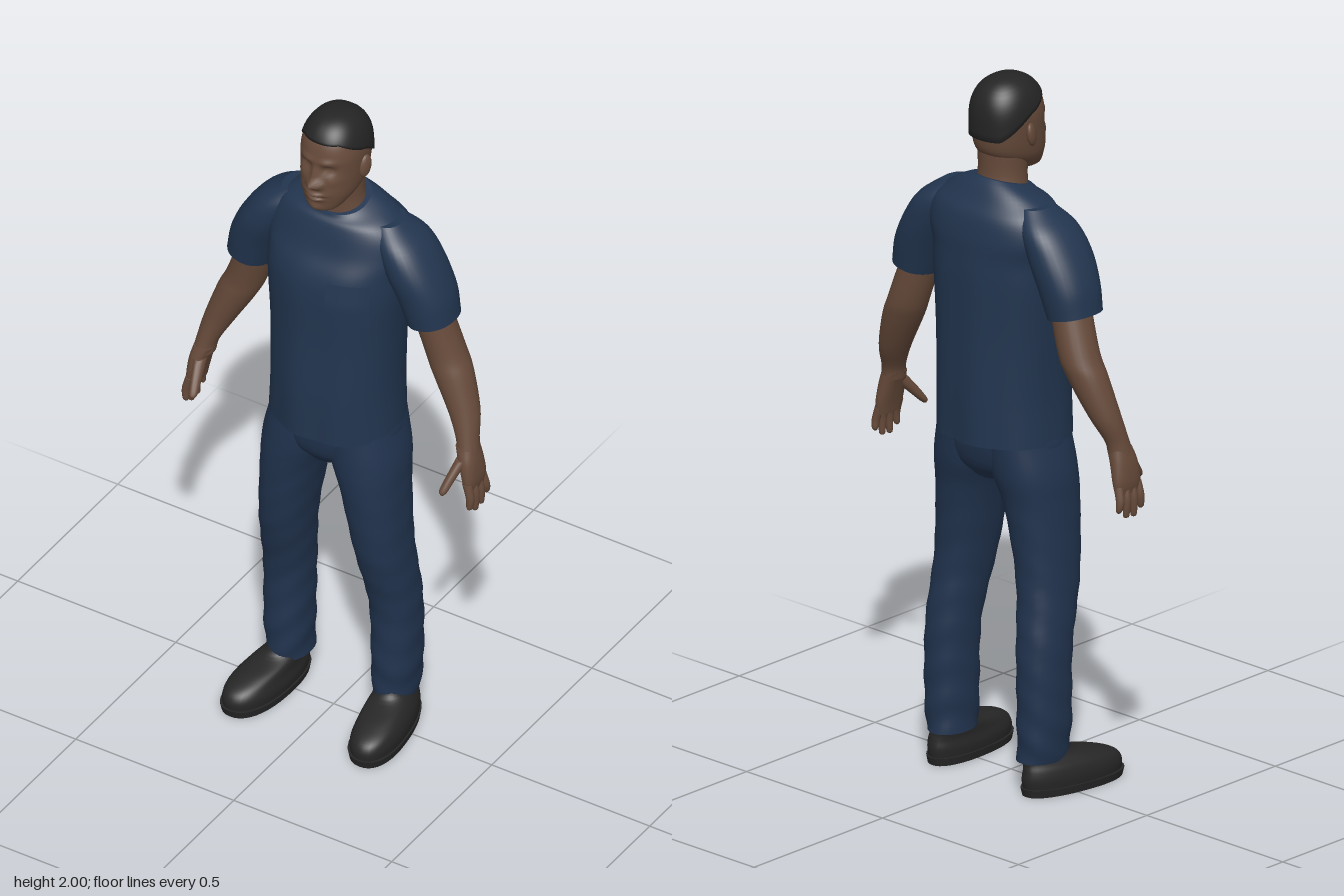
import * as THREE from 'three';

const mat = (name, color) => {
  const m = new THREE.MeshStandardMaterial({ color, side: THREE.DoubleSide });
  m.name = name;
  return m;
};

// Superellipse outline: 1 at angle 0, sharper corners for larger e
const sup = (c, e) => Math.sign(c) * Math.pow(Math.abs(c), 2 / e);

// Smooth body through horizontal rings [y, x, z, rx, rz], listed from low to high
function loft(rings, { e = 2, n = 28, sub = 5, warp } = {}) {
  const centre = new THREE.CatmullRomCurve3(rings.map(r => new THREE.Vector3(r[1], r[0], r[2])), false, 'catmullrom', 0.5);
  const radii = new THREE.CatmullRomCurve3(rings.map(r => new THREE.Vector3(r[3], r[4], 0)), false, 'catmullrom', 0.5);
  const rows = (rings.length - 1) * sub, pos = [], idx = [];
  const v = new THREE.Vector3();
  for (let i = 0; i <= rows; i++) {
    const c = centre.getPoint(i / rows), r = radii.getPoint(i / rows);
    for (let j = 0; j < n; j++) {
      const a = j / n * Math.PI * 2;
      v.set(c.x + r.x * sup(Math.cos(a), e), c.y, c.z + r.y * sup(Math.sin(a), e));
      if (warp) warp(v, c, i / rows);
      pos.push(v.x, v.y, v.z);
      if (i < rows) {
        const p = i * n + j, q = i * n + (j + 1) % n;
        idx.push(p, p + n, q, q, p + n, q + n);
      }
    }
  }
  // End caps with their own corners, so that the rims stay sharp
  for (const top of [false, true]) {
    const start = pos.length / 3, from = (top ? rows : 0) * n * 3;
    const rim = pos.slice(from, from + n * 3);
    const mid = [0, 1, 2].map(k => rim.reduce((t, x, i) => i % 3 === k ? t + x / n : t, 0));
    pos.push(...rim, ...mid);
    for (let j = 0; j < n; j++) {
      const p = start + j, q = start + (j + 1) % n;
      idx.push(start + n, top ? q : p, top ? p : q);
    }
  }
  return build(pos, idx);
}

function build(pos, idx) {
  const g = new THREE.BufferGeometry();
  g.setAttribute('position', new THREE.Float32BufferAttribute(pos, 3));
  g.setIndex(idx);
  g.computeVertexNormals();
  return g;
}

// Grid surface from point(u, v)
function sheet(nu, nv, point) {
  const pos = [], idx = [];
  for (let i = 0; i <= nv; i++) for (let j = 0; j <= nu; j++) {
    pos.push(...point(j / nu, i / nv));
    if (i < nv && j < nu) {
      const p = i * (nu + 1) + j, q = p + nu + 1;
      idx.push(p, p + 1, q, q, p + 1, q + 1);
    }
  }
  return build(pos, idx);
}

export function createModel() {
  const shirt = mat('navy shirt', 0x22354f), trousers = mat('navy trousers', 0x21334e);
  const skin = mat('brown skin', 0x664a3a), black = mat('black hair', 0x242424), leather = mat('black leather', 0x262626);
  const model = new THREE.Group();
  const add = (name, geo, m, parent = model) => {
    const mesh = new THREE.Mesh(geo, m);
    mesh.name = name;
    parent.add(mesh);
    return mesh;
  };

  // Shirt body, with a neckline that rises towards the back
  const torso = [
    [0.99, 0, -0.025, 0.185, 0.165], [1.13, 0, -0.026, 0.18, 0.166], [1.3, 0, -0.03, 0.186, 0.16],
    [1.45, 0, -0.032, 0.198, 0.158], [1.52, 0, -0.037, 0.2, 0.15], [1.58, 0, -0.05, 0.21, 0.133],
    [1.64, 0, -0.053, 0.195, 0.116], [1.68, 0, -0.045, 0.15, 0.093], [1.708, 0, -0.035, 0.085, 0.072]];
  add('shirtBody', loft(torso, {
    e: 2.25, n: 56, warp: (v, c, t) => {
      const low = Math.max(0, 1 - t * 1.4);
      v.z -= 0.004 * low * Math.sin(v.x * 45) * Math.sign(v.z - c.z);
      v.y -= 0.28 * (v.z - c.z) * THREE.MathUtils.smoothstep(t, 0.8, 1);
    },
  }), shirt);

  // Chest pocket following the shirt front
  add('chestPocket', sheet(10, 8, (u, w) => {
    const x = 0.05 + u * 0.11, y = 1.385 + w * 0.135 + (w < 0.1 ? 0.012 * Math.abs(u - 0.5) : 0);
    const rz = 0.16 - Math.max(0, y - 1.45) * 0.12, zc = -0.032 - Math.max(0, y - 1.45) * 0.07;
    return [x, y, zc + 0.006 + rz * Math.pow(1 - Math.pow(x / 0.197, 2.25), 1 / 2.25)];
  }), shirt);

  // Hips
  add('trouserSeat', loft([[0.87, 0, -0.02, 0.07, 0.09], [0.91, 0, -0.022, 0.15, 0.118],
    [0.97, 0, -0.025, 0.188, 0.13], [1.04, 0, -0.028, 0.172, 0.13]], { e: 2.3, n: 40 }), trousers);

  // Neck and head; bumps are [x, y, width, height, depth] on the face
  add('neck', loft([[1.64, 0, -0.045, 0.09, 0.075], [1.72, 0, -0.033, 0.069, 0.066], [1.81, 0, -0.03, 0.07, 0.07]], { n: 32 }), skin);
  const bumps = [
    [0, 1.825, 0.015, 0.014, 0.03], [0, 1.853, 0.01, 0.022, 0.014], [0.018, 1.82, 0.008, 0.009, 0.01],
    [0.034, 1.868, 0.017, 0.012, -0.014], [0.03, 1.893, 0.025, 0.009, 0.006], [0.034, 1.866, 0.008, 0.006, 0.007],
    [0, 1.79, 0.024, 0.006, 0.012], [0, 1.773, 0.02, 0.006, 0.011], [0, 1.781, 0.025, 0.003, -0.006],
    [0, 1.742, 0.02, 0.012, 0.007], [0.05, 1.835, 0.018, 0.014, 0.004]];
  add('head', loft([
    [1.725, 0, 0.05, 0.026, 0.032], [1.738, 0, 0.038, 0.05, 0.053], [1.77, 0, 0.012, 0.071, 0.084],
    [1.8, 0, -0.003, 0.08, 0.102], [1.85, 0, -0.012, 0.086, 0.104], [1.9, 0, -0.015, 0.088, 0.104],
    [1.94, 0, -0.015, 0.08, 0.094], [1.97, 0, -0.015, 0.062, 0.073], [1.985, 0, -0.015, 0.036, 0.042]], {
    e: 2.25, n: 80, sub: 8, warp: v => {
      if (v.z < 0.03) return;
      let d = 0;
      for (const [x, y, w, h, k] of bumps) d += k * Math.exp(-(((Math.abs(v.x) - x) / w) ** 2) - ((v.y - y) / h) ** 2);
      v.z += d;
    },
  }), skin);

  // Close-cropped hair: a dome whose lower edge drops from brow to nape
  add('hair', sheet(64, 14, (u, w) => {
    const a = -u * Math.PI * 2, s = Math.sin(a);
    const y0 = s > 0 ? 1.905 + 0.042 * Math.min(1, s * 1.3) : 1.905 - 0.067 * Math.min(1, -s * 1.25);
    const k = Math.max(0, (w - 0.07) / 0.93);
    const y = y0 + (2 - y0) * Math.sin(k * Math.PI / 2);
    const f = Math.pow(Math.max(0, 1 - Math.pow(Math.max(0, (y - 1.88) / 0.12), 2.4)), 1 / 2.4) * (w === 0 ? 0.9 : 1);
    return [0.092 * f * sup(Math.cos(a), 2.25), y, -0.015 + 0.108 * f * sup(s, 2.25)];
  }), black);

  for (const s of [1, -1]) {
    const side = new THREE.Group();
    side.name = s > 0 ? 'leftSide' : 'rightSide';
    model.add(side);
    const limb = (name, rings, m, opts) =>
      add(name, loft(rings.map(([y, x, ...r]) => [y, s * x, ...r]), opts), m, side);

    // Ear
    const ear = add('ear', new THREE.SphereGeometry(1, 16, 12), skin, side);
    ear.scale.set(0.011, 0.034, 0.02);
    ear.position.set(s * 0.09, 1.848, -0.015);
    ear.rotation.set(-0.2, s * -0.35, 0);

    // Sleeve and bare arm
    limb('sleeve', [[1.395, 0.285, -0.052, 0.066, 0.079], [1.47, 0.264, -0.052, 0.073, 0.088], [1.55, 0.228, -0.05, 0.073, 0.094],
      [1.62, 0.19, -0.052, 0.062, 0.085], [1.672, 0.145, -0.052, 0.04, 0.05]], shirt,
    { e: 2.2, n: 32, warp: (v, c, t) => { v.y += s * 0.2 * (v.x - c.x) * (1 - t); } });
    limb('arm', [[1.02, 0.418, -0.014, 0.03, 0.037], [1.06, 0.41, -0.022, 0.031, 0.035], [1.13, 0.385, -0.043, 0.044, 0.045],
      [1.235, 0.338, -0.06, 0.058, 0.055], [1.3, 0.31, -0.065, 0.057, 0.057], [1.44, 0.265, -0.055, 0.054, 0.058]], skin);

    // Hand: palm, four fingers and thumb
    limb('palm', [[0.915, 0.438, -0.012, 0.015, 0.042], [0.95, 0.436, -0.012, 0.021, 0.047], [1.0, 0.426, -0.012, 0.026, 0.043],
      [1.04, 0.414, -0.016, 0.029, 0.035]], skin, { e: 2.4 });
    [[0.862, 0.025], [0.845, 0.002], [0.848, -0.022], [0.868, -0.045]].forEach(([tip, z], i) =>
      limb('finger' + (i + 1), [[tip, 0.448, z * 1.2, 0.004, 0.004], [tip + 0.008, 0.449, z * 1.2, 0.009, 0.009],
        [0.9, 0.449, z * 1.1, 0.012, 0.012], [0.94, 0.438, z, 0.014, 0.013]], skin, { n: 12 }));
    limb('thumb', [[0.924, 0.395, 0.082, 0.005, 0.005], [0.935, 0.396, 0.076, 0.012, 0.013], [0.965, 0.403, 0.05, 0.014, 0.019],
      [1.01, 0.415, 0.008, 0.017, 0.025]], skin, { n: 14 });

    // Trouser leg with soft folds around the knee and ankle
    limb('trouserLeg', [[0.095, 0.166, -0.052, 0.056, 0.077], [0.2, 0.17, -0.05, 0.063, 0.08], [0.4, 0.167, -0.047, 0.066, 0.081],
      [0.6, 0.15, -0.015, 0.072, 0.095], [0.8, 0.126, -0.012, 0.086, 0.112], [0.9, 0.106, -0.02, 0.1, 0.124],
      [1.0, 0.09, -0.027, 0.093, 0.128]], trousers, {
      e: 2.2, n: 36, sub: 8, warp: (v, c, t) => {
        const k = 1 + 0.035 * Math.max(0, 1 - t * 1.3) * Math.sin(v.y * 62 + s * (v.x - c.x) * 40 + v.z * 25);
        v.x = c.x + (v.x - c.x) * k;
        v.z = c.z + (v.z - c.z) * k;
      },
    });

    // Shoe, splayed outwards and narrower at the heel
    const splay = v => { v.x = s * 0.185 + (v.x - s * 0.185) * (0.92 + 0.7 * v.z) + s * 0.1 * v.z; };
    limb('shoeSole', [[0, 0.185, 0.036, 0.07, 0.16], [0.022, 0.185, 0.036, 0.074, 0.165]], leather, { e: 2.3, n: 40, sub: 2, warp: splay });
    limb('shoeUpper', [[0.015, 0.185, 0.036, 0.068, 0.159], [0.045, 0.185, 0.034, 0.071, 0.161], [0.07, 0.185, 0.026, 0.066, 0.15],
      [0.09, 0.18, 0.002, 0.06, 0.122], [0.11, 0.174, -0.04, 0.053, 0.082], [0.135, 0.172, -0.05, 0.048, 0.07]], leather,
    { e: 2.2, n: 40, warp: splay });
  }
  return model;
}
